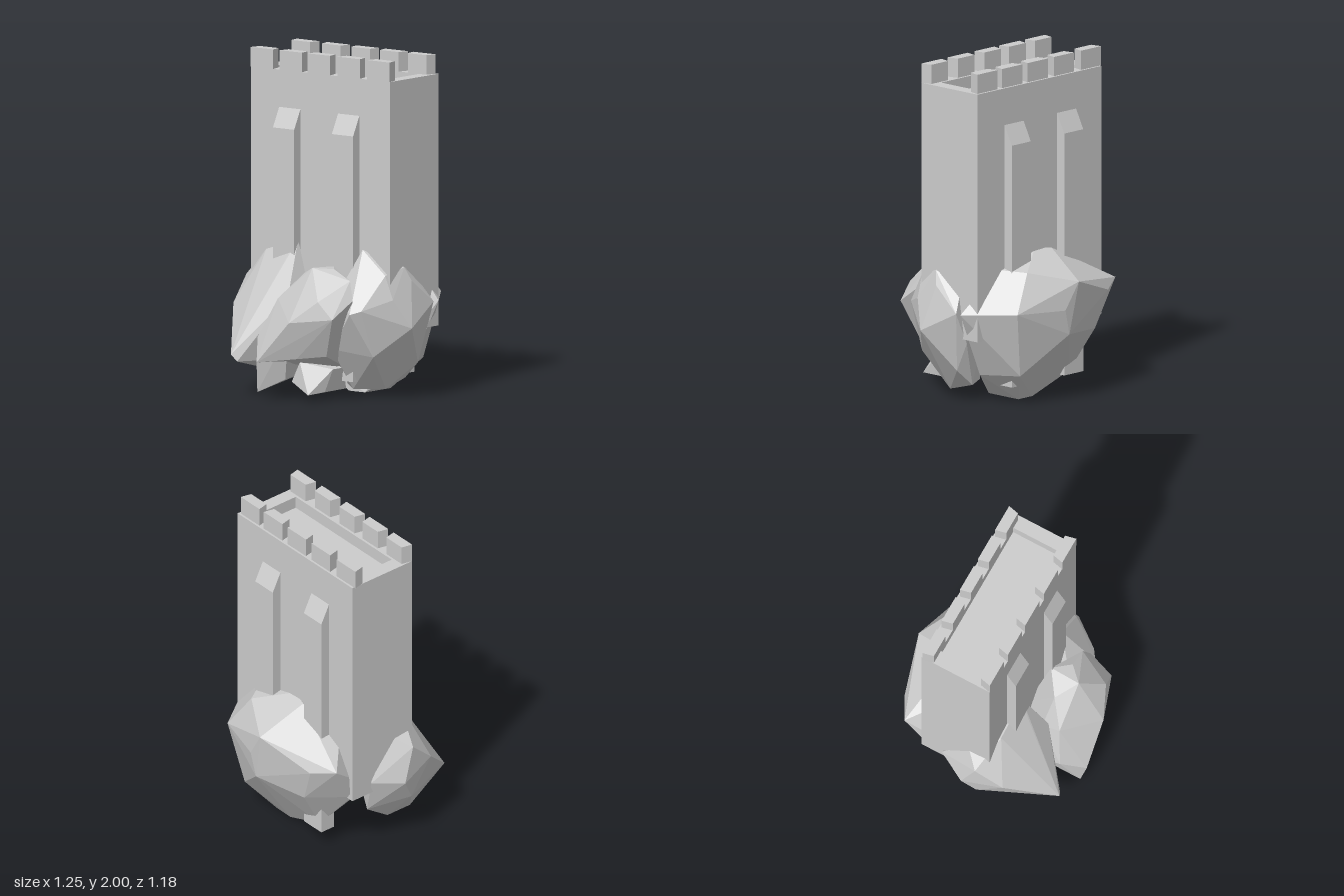
import * as THREE from 'three';
import { ConvexGeometry } from 'three/addons/geometries/ConvexGeometry.js';

const stone = new THREE.MeshStandardMaterial({ color: 0xcccccc, flatShading: true });

// Tower bounds
const HALF_W = 0.523, FRONT = 0.155, BACK = -0.298, BASE = 0.4, FLOOR = 1.81, RIM = 1.885, TOP = 2;

function add(parent, name, geometry) {
  const mesh = new THREE.Mesh(geometry, stone);
  mesh.name = name;
  parent.add(mesh);
  return mesh;
}

const toShape = (points) => new THREE.Shape(points.map(([x, y]) => new THREE.Vector2(x, y)));
const rect = (x0, x1, y0, y1) => [[x0, y0], [x1, y0], [x1, y1], [x0, y1]];
const extrude = (shape, depth) => new THREE.ExtrudeGeometry(shape, { depth, bevelEnabled: false });

// Faceted boulder around a few corner points
const rock = (points) => new ConvexGeometry(points.map((p) => new THREE.Vector3(...p)));

// Tall pier with a sloped cap, leaning outwards from the wall
function buttress(parent, name, x, wallZ, side) {
  const profile = toShape([[-0.04, 0.1], [0.058, 0.1], [0.058, 1.55], [0, 1.665], [-0.04, 1.665]]);
  const geometry = extrude(profile, 0.16);
  geometry.translate(0, 0, -0.08);
  geometry.rotateY(-side * Math.PI / 2);
  add(parent, name, geometry).position.set(x, 0, wallZ);
}

// Battlement block, wider on its outer face
function merlon(parent, name, x, outerZ, side) {
  const plan = toShape([[-0.07, -0.067], [0.07, -0.067], [0.085, 0], [-0.085, 0]]);
  const geometry = extrude(plan, TOP - RIM);
  geometry.rotateX(Math.PI / 2);
  if (side < 0) geometry.rotateY(Math.PI);
  add(parent, name, geometry).position.set(x, TOP, outerZ);
}

export function createModel() {
  const model = new THREE.Group();
  model.name = 'towerOnRocks';

  // Tower body and the raised rim around its roof
  const tower = new THREE.Group();
  tower.name = 'tower';
  model.add(tower);
  const body = new THREE.BoxGeometry(HALF_W * 2, FLOOR - BASE, FRONT - BACK);
  add(tower, 'towerBody', body).position.set(0, (FLOOR + BASE) / 2, (FRONT + BACK) / 2);
  const rim = toShape(rect(-HALF_W, HALF_W, BACK, FRONT));
  rim.holes.push(new THREE.Path(toShape(rect(-0.435, 0.44, -0.22, 0.075)).getPoints()));
  const rimGeometry = extrude(rim, RIM - FLOOR);
  rimGeometry.rotateX(Math.PI / 2);
  add(tower, 'roofRim', rimGeometry).position.y = RIM;

  // Buttresses on both long walls
  for (const x of [-0.23, 0.213]) {
    buttress(tower, 'frontButtress', x, FRONT, 1);
    buttress(tower, 'backButtress', x, BACK, -1);
  }

  // Battlements
  for (const x of [-0.438, -0.22, -0.01, 0.214, 0.437]) merlon(tower, 'frontMerlon', x, FRONT + 0.002, 1);
  for (const x of [-0.45, -0.22, 0, 0.216, 0.425]) merlon(tower, 'backMerlon', x, -0.285, -1);

  // Boulders round the foot
  const rocks = new THREE.Group();
  rocks.name = 'rocks';
  model.add(rocks);
  add(rocks, 'backRock', rock([
    [-0.03, 0.72, -0.59], [0.385, 0.57, -0.49], [-0.52, 0.64, -0.415], [-0.375, 0.6, -0.495],
    [0.07, 0.56, -0.577], [0.03, 0.41, -0.57], [0.3, 0.18, -0.43], [-0.29, 0.38, -0.47],
    [0.17, 0, -0.29], [0.05, 0, -0.29], [0.17, 0, -0.05], [0.05, 0, -0.05],
    [0.24, 0.79, -0.43], [0.33, 0.8, -0.28], [0.02, 0.88, -0.28], [-0.09, 0.87, -0.31],
    [-0.35, 0.74, -0.25], [-0.5, 0.41, -0.28], [0.585, 0.56, -0.22], [0.4, 0.17, -0.2],
    [-0.24, 0.11, -0.31], [-0.45, 0.4, -0.1], [-0.2, 0.15, -0.05],
  ]));
  add(rocks, 'leftRock', rock([
    [0.62, 0.43, 0.07], [0.58, 0.56, -0.18], [0.56, 0.7, 0], [0.53, 0.78, 0.03],
    [0.55, 0.6, 0.16], [0.33, 0.88, 0.17], [0.5, 0.74, 0.17], [0.44, 0.54, 0.32],
    [0.385, 0.52, 0.36], [0.51, 0.2, -0.12], [0.4, 0.05, 0.04], [0.25, 0.05, 0.16],
    [0.4, 0.1, -0.14], [0.5, 0.37, -0.19], [0.45, 0.26, 0.22], [0.46, 0.74, -0.12],
    [0.13, 0.06, 0.06], [0.22, 0.62, 0.27], [0.22, 0.3, 0.32], [0.15, 0.4, 0],
  ]));
  add(rocks, 'rightRock', rock([
    [-0.625, 0.44, 0.02], [-0.6, 0.65, 0.1], [-0.565, 0.5, 0.265], [-0.585, 0.3, 0.1],
    [-0.365, 0.24, 0.535], [-0.33, 0.2, 0.52], [-0.45, 0.13, 0.2], [-0.3, 0.13, 0.2],
    [-0.11, 0.58, 0.32], [-0.11, 0.7, 0.2], [-0.155, 0.9, 0.17], [-0.2, 0.79, 0.23],
    [-0.4, 0.82, 0.165], [-0.5, 0.72, 0], [-0.53, 0.47, -0.16], [-0.48, 0.26, -0.15],
    [-0.45, 0.13, 0.03], [-0.1, 0.2, 0.1], [-0.06, 0.55, 0.17],
  ]));
  add(rocks, 'frontRock', rock([
    [0.13, 0.78, 0.39], [0.22, 0.77, 0.3], [0.14, 0.77, 0.2], [0.34, 0.71, 0.3],
    [0.385, 0.6, 0.33], [0.355, 0.5, 0.485], [0.1, 0.47, 0.572], [0, 0.73, 0.3],
    [-0.12, 0.58, 0.4], [-0.225, 0.35, 0.46], [-0.13, 0.22, 0.587], [0.1, 0.25, 0.5],
    [0.26, 0.27, 0.42], [-0.2, 0.2, 0.3], [0.2, 0.18, 0.18],
    [0.26, 0.6, 0.5], [-0.11, 0.5, 0.28], [0, 0.42, 0.12], [-0.1, 0.22, 0.12],
  ]));
  // Two spurs jutting out under the front boulder
  add(rocks, 'frontRockOuterSpur', rock([
    [-0.15, 0.04, 0.555], [-0.13, 0.22, 0.587], [-0.225, 0.35, 0.46], [0, 0.12, 0.48],
    [0.06, 0.4, 0.53], [-0.2, 0.2, 0.3], [0, 0.15, 0.25],
  ]));
  add(rocks, 'frontRockInnerSpur', rock([
    [0.17, 0.04, 0.48], [0, 0.1, 0.42], [0.06, 0.22, 0.42], [0.2, 0.05, 0.36],
    [0.22, 0.18, 0.31], [0.2, 0.05, 0.165], [0.22, 0.18, 0.2], [0, 0.12, 0.15],
  ]));
  return model;
}
